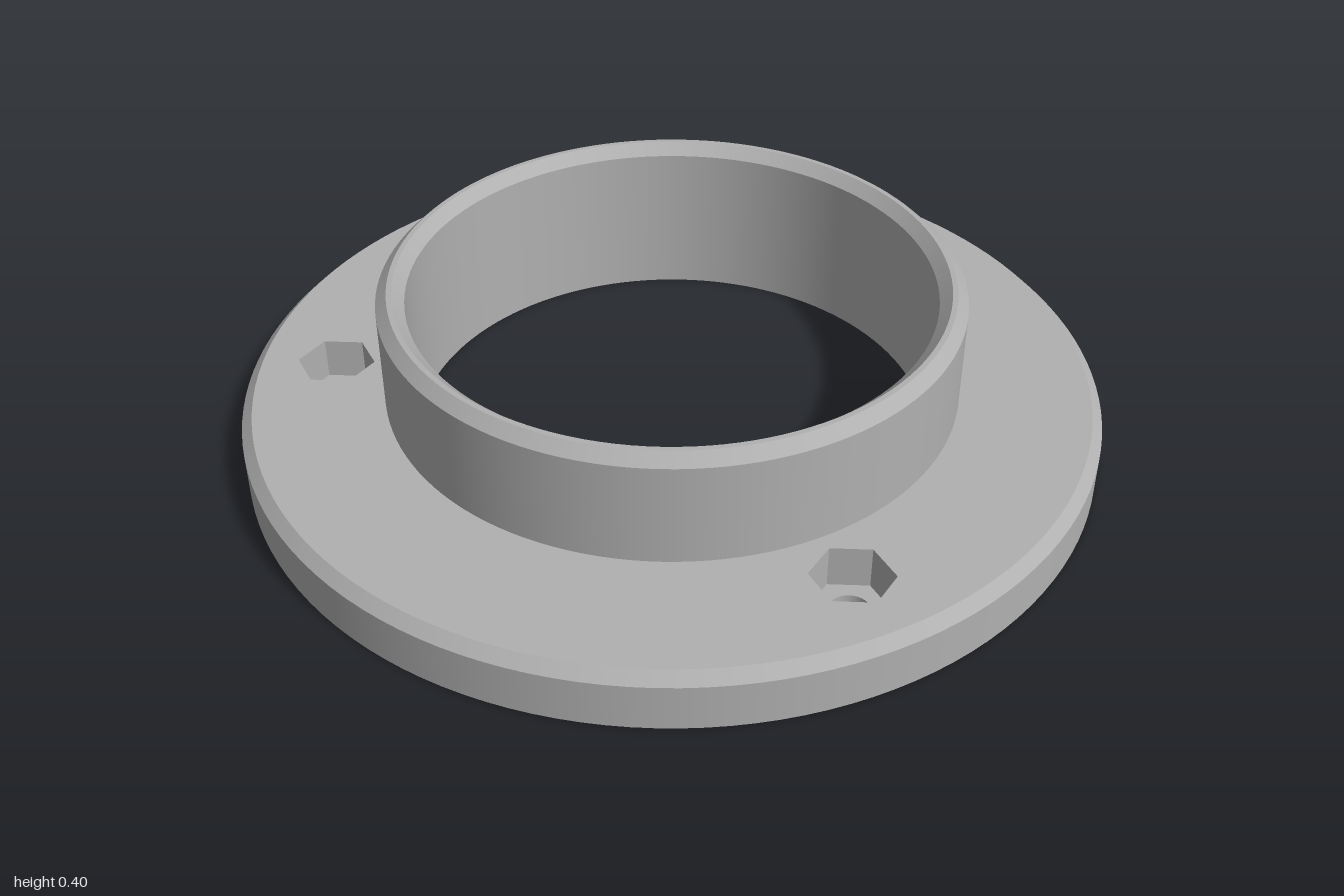
import * as THREE from 'three';

const SEG = 128;
const metal = new THREE.MeshStandardMaterial({ color: 0xb0b0b0 });
metal.name = 'grey metal';

// Bolt positions as [x, z], three evenly spaced round the flange
const bolts = [0, 1, 2].map(i => {
  const a = -Math.PI / 2 + i * Math.PI * 2 / 3;
  return [0.8 * Math.cos(a), 0.8 * Math.sin(a)];
});
const HEX = 0.091, BORE = 0.047, FLOOR = 0.035, TOP = 0.135;

// Ring outline of n corners, with a corner pointing along z
function ring(n, r, cx = 0, cz = 0) {
  return Array.from({ length: n }, (_, i) => {
    const a = Math.PI / 2 + i * Math.PI * 2 / n;
    return new THREE.Vector2(cx + r * Math.cos(a), cz + r * Math.sin(a));
  });
}

// Flat horizontal face with holes, facing up or down
function flatFace(outline, holes, y, up) {
  const flip = p => new THREE.Vector2(p.x, up ? -p.y : p.y);
  const shape = new THREE.Shape(outline.map(flip));
  shape.holes = holes.map(h => new THREE.Path(h.map(flip)));
  return new THREE.ShapeGeometry(shape).rotateX(up ? -Math.PI / 2 : Math.PI / 2).translate(0, y, 0);
}

// Band of revolution; rising profiles face out, falling ones face in
function band(r0, y0, r1, y1, n = SEG) {
  const g = new THREE.LatheGeometry([new THREE.Vector2(r0, y0), new THREE.Vector2(r1, y1)], n);
  if (n > 6) return g;
  const flat = g.toNonIndexed();
  flat.computeVertexNormals();
  return flat;
}

export function createModel() {
  const model = new THREE.Group();
  const add = (name, geometry, parent = model) => {
    const mesh = new THREE.Mesh(geometry, metal);
    mesh.name = name;
    parent.add(mesh);
    return mesh;
  };

  // Flange plate
  add('flangeBottom', flatFace(ring(SEG, 1),
    [ring(SEG, 0.607), ...bolts.map(([x, z]) => ring(32, BORE, x, z))], 0, false));
  add('flangeSide', band(1, 0, 1, 0.11));
  add('flangeChamfer', band(1, 0.11, 0.975, TOP));
  add('flangeTop', flatFace(ring(SEG, 0.975),
    [ring(SEG, 0.672), ...bolts.map(([x, z]) => ring(6, HEX, x, z))], TOP, true));

  // Raised collar with chamfered rim and open bore
  add('collarSide', band(0.672, TOP, 0.672, 0.378));
  add('collarOuterChamfer', band(0.672, 0.378, 0.646, 0.404));
  add('collarRim', band(0.646, 0.404, 0.634, 0.404));
  add('collarInnerChamfer', band(0.634, 0.404, 0.607, 0.377));
  add('collarBore', band(0.607, 0.377, 0.607, 0));

  // Hexagonal nut pockets with round through holes
  for (const [x, z] of bolts) {
    const pocket = new THREE.Group();
    pocket.name = 'nutPocket';
    pocket.position.set(x, 0, z);
    add('pocketWalls', band(HEX, TOP, HEX, FLOOR, 6), pocket);
    add('pocketFloor', flatFace(ring(6, HEX), [ring(32, BORE)], FLOOR, true), pocket);
    add('boltHole', band(BORE, FLOOR, BORE, 0, 32), pocket);
    model.add(pocket);
  }
  return model;
}
